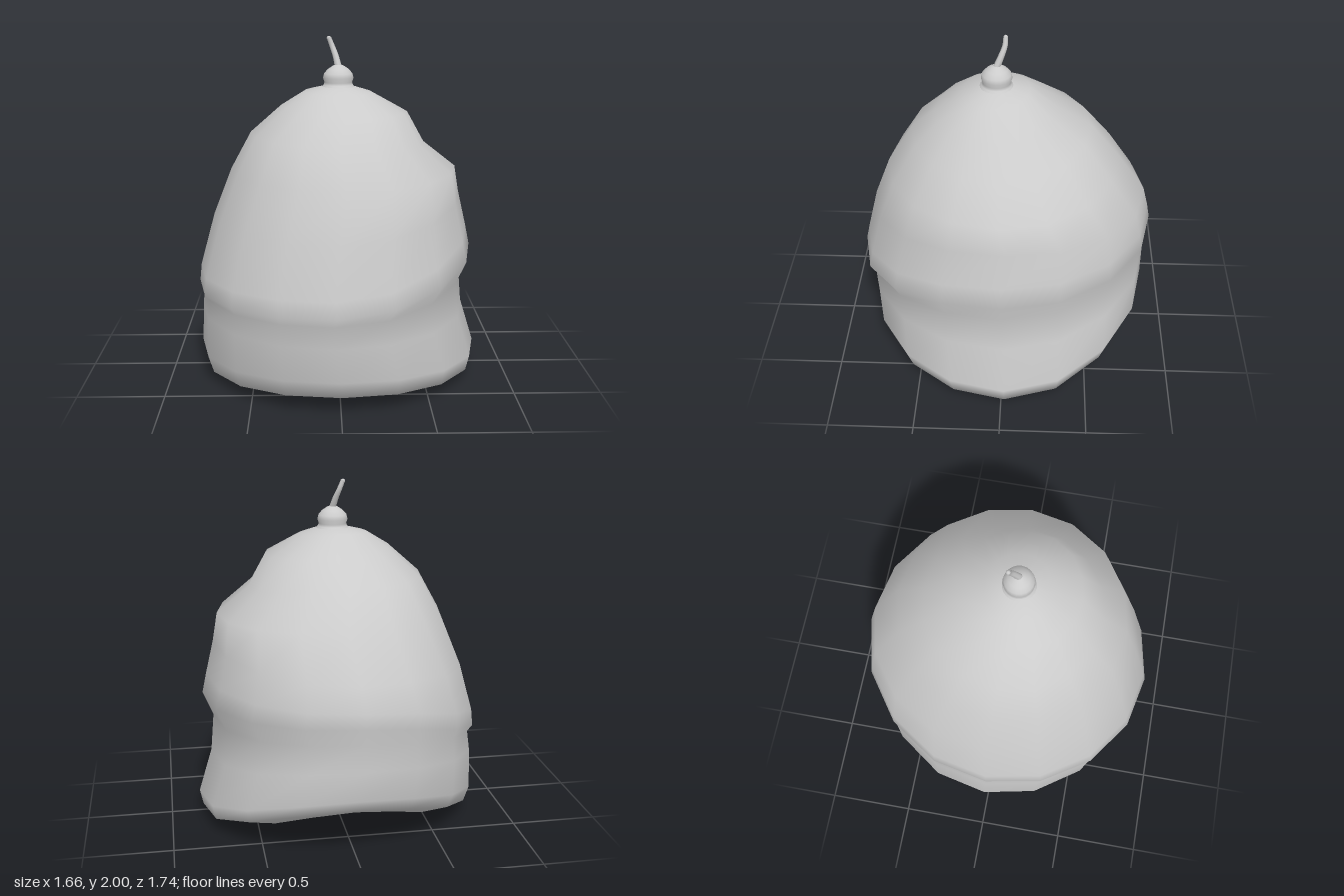
import * as THREE from 'three';

const SIDES = 16;
const mat = new THREE.MeshStandardMaterial({ color: 0xcccccc, side: THREE.DoubleSide });

// Each ring: reach to front, +x, back, -x, then the heights at those four places
const RINGS = [
  [0.64, 0.60, 0.72, 0.60, 0.06, 0.00, 0.26, 0.00], // underside edge
  [0.77, 0.81, 0.81, 0.80, 0.10, 0.05, 0.31, 0.05],
  [0.81, 0.83, 0.845, 0.83, 0.20, 0.14, 0.38, 0.15],
  [0.83, 0.75, 0.85, 0.82, 0.40, 0.40, 0.55, 0.40], // band
  [0.84, 0.73, 0.84, 0.805, 0.53, 0.62, 0.70, 0.51], // crease
  [0.87, 0.79, 0.87, 0.835, 0.58, 0.76, 0.80, 0.54], // overhanging fold
  [0.85, 0.765, 0.855, 0.825, 0.67, 0.88, 0.88, 0.64],
  [0.78, 0.72, 0.82, 0.74, 0.95, 1.08, 1.02, 0.95],
  [0.68, 0.69, 0.66, 0.63, 1.22, 1.24, 1.27, 1.23],
  [0.54, 0.50, 0.49, 0.51, 1.43, 1.39, 1.46, 1.45], // dent on the +x side
  [0.40, 0.40, 0.30, 0.33, 1.57, 1.57, 1.60, 1.61],
  [0.24, 0.20, 0.14, 0.20, 1.68, 1.68, 1.70, 1.69],
  [0.13, 0.08, 0.03, 0.08, 1.72, 1.72, 1.72, 1.72],
];

function ringPoint([f, r, b, l, yf, yr, yb, yl], angle) {
  const c = Math.cos(angle), s = Math.sin(angle);
  const x = (r - l) / 2 + c * (r + l) / 2;
  const z = (f - b) / 2 + s * (f + b) / 2;
  const y = c * c * (c > 0 ? yr : yl) + s * s * (s > 0 ? yf : yb);
  return [x, y, z];
}

// Closed skin through the rings, with a centre point at both ends
function hatGeometry() {
  const pos = [], idx = [];
  for (const ring of RINGS)
    for (let i = 0; i < SIDES; i++) pos.push(...ringPoint(ring, (i / SIDES) * Math.PI * 2));
  const bottom = pos.length / 3, top = bottom + 1;
  pos.push(0, 0.06, 0, 0, 1.74, 0.05);
  const last = (RINGS.length - 1) * SIDES;
  for (let i = 0; i < SIDES; i++) {
    const j = (i + 1) % SIDES;
    for (let k = 0; k < RINGS.length - 1; k++) {
      const a = k * SIDES + i, b = k * SIDES + j;
      idx.push(a, a + SIDES, b, b, a + SIDES, b + SIDES);
    }
    idx.push(bottom, i, j, top, last + j, last + i);
  }
  const g = new THREE.BufferGeometry();
  g.setAttribute('position', new THREE.Float32BufferAttribute(pos, 3));
  g.setIndex(idx);
  g.computeVertexNormals();
  return g;
}

// Curved stem that narrows towards its tip
function stemGeometry() {
  const curve = new THREE.CatmullRomCurve3([
    new THREE.Vector3(0, 1.83, 0.05),
    new THREE.Vector3(-0.015, 1.89, 0.025),
    new THREE.Vector3(-0.035, 1.945, 0.005),
    new THREE.Vector3(-0.053, 1.992, 0.002),
  ]);
  const rows = 10, sides = 8;
  const g = new THREE.TubeGeometry(curve, rows, 0.02, sides, false);
  const p = g.attributes.position, v = new THREE.Vector3();
  for (let i = 0; i < p.count; i++) {
    const t = Math.floor(i / (sides + 1)) / rows;
    const centre = curve.getPointAt(t);
    v.fromBufferAttribute(p, i).sub(centre).multiplyScalar(1 - 0.35 * t).add(centre);
    p.setXYZ(i, v.x, v.y, v.z);
  }
  return g;
}

export function createModel() {
  const group = new THREE.Group();
  const add = (name, geometry, x = 0, y = 0, z = 0) => {
    const mesh = new THREE.Mesh(geometry, mat);
    mesh.name = name;
    mesh.position.set(x, y, z);
    group.add(mesh);
  };

  add('hat', hatGeometry());

  // Round knob on the crown
  const knob = [[0.11, 1.7], [0.085, 1.725], [0.08, 1.74], [0.088, 1.765], [0.082, 1.79],
    [0.06, 1.815], [0.03, 1.835], [0, 1.845]].map(([r, y]) => new THREE.Vector2(r, y));
  add('knob', new THREE.LatheGeometry(knob, 20), 0, 0, 0.05);

  add('stem', stemGeometry());
  add('stemTip', new THREE.SphereGeometry(0.013, 8, 6), -0.053, 1.987, 0.002);
  return group;
}
